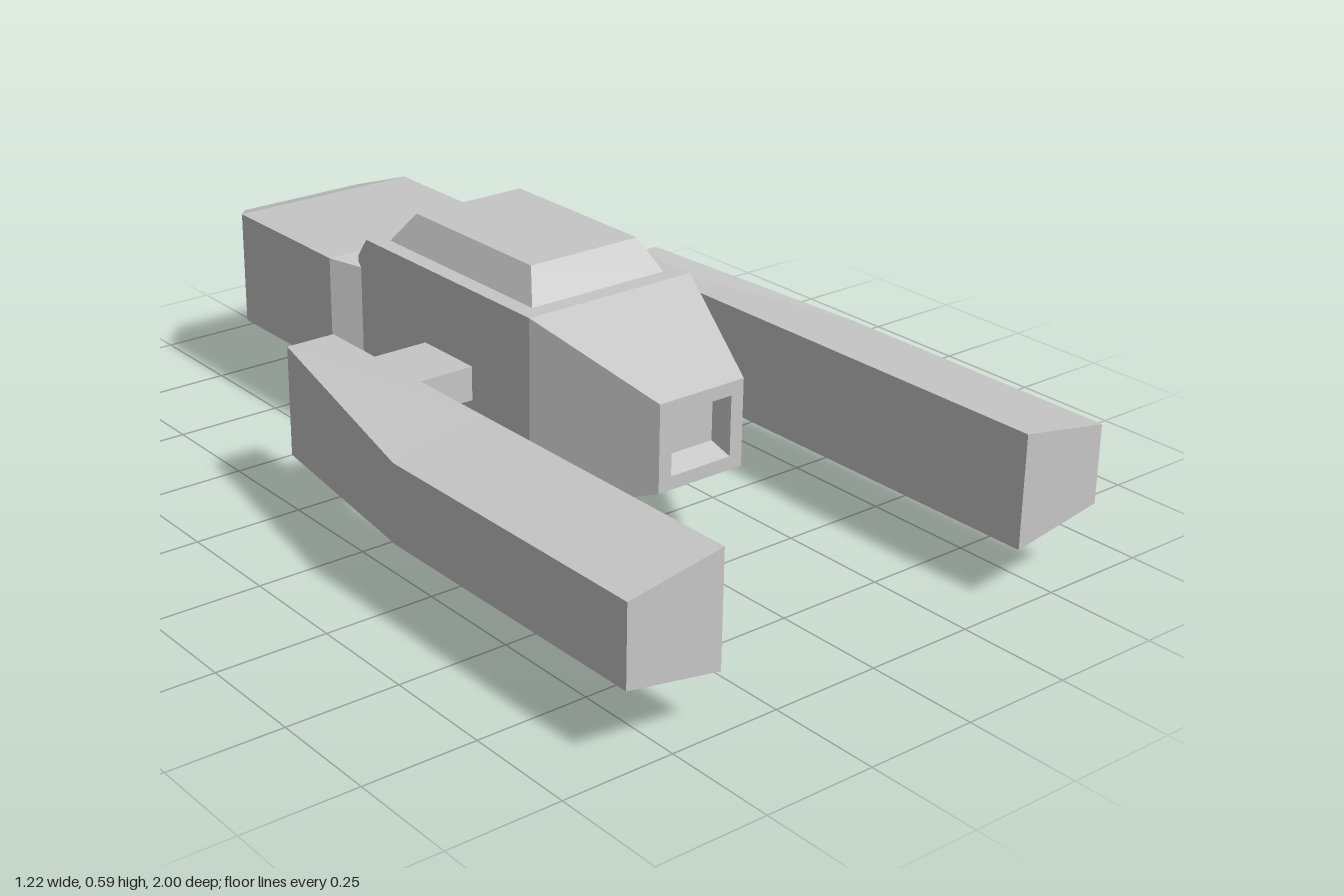
import * as THREE from 'three';

// Rectangular section: half width, bottom, top, depth position
const rect = (hw, y0, y1, z) => [[-hw, y0, z], [hw, y0, z], [hw, y1, z], [-hw, y1, z]];

// Faceted solid through four-cornered rings, ordered from +z to -z
function loft(rings) {
  const pos = [];
  const quad = (a, b, c, d) => pos.push(...a, ...b, ...c, ...a, ...c, ...d);
  quad(...rings[0]);
  for (let i = 0; i < rings.length - 1; i++) {
    const r = rings[i], s = rings[i + 1];
    for (let j = 0; j < 4; j++) {
      const k = (j + 1) % 4;
      quad(r[j], s[j], s[k], r[k]);
    }
  }
  quad(...[...rings[rings.length - 1]].reverse());
  const g = new THREE.BufferGeometry();
  g.setAttribute('position', new THREE.Float32BufferAttribute(pos, 3));
  g.computeVertexNormals();
  return g;
}

export function createModel() {
  const group = new THREE.Group();
  const hullGrey = new THREE.MeshStandardMaterial({ color: 0xc6c6c6 });
  hullGrey.name = 'hullGrey';
  const add = (name, geometry) => {
    const mesh = new THREE.Mesh(geometry, hullGrey);
    mesh.name = name;
    group.add(mesh);
    return mesh;
  };

  // Main hull with a recessed port in the nose
  add('hull', loft([
    rect(0.072, 0.255, 0.35, 0.44),
    rect(0.078, 0.235, 0.37, 0.49),
    rect(0.11, 0.205, 0.4, 0.49),
    rect(0.213, 0.09, 0.517, 0.2),
    rect(0.213, 0.09, 0.517, -0.39),
    rect(0.18, 0.16, 0.45, -0.475),
  ]));

  // Rear engine with a recessed exhaust
  add('engine', loft([
    rect(0.185, 0.195, 0.428, -0.445),
    rect(0.231, 0.175, 0.442, -0.515),
    rect(0.231, 0.175, 0.442, -0.893),
    rect(0.16, 0.183, 0.408, -1),
    rect(0.147, 0.21, 0.382, -1),
    rect(0.125, 0.23, 0.362, -0.945),
  ]));

  // Raised roof hatch and belly pod, lofted vertically
  add('roofHatch', loft([
    rect(0.14, -0.11, 0.3, 0.587),
    rect(0.175, -0.16, 0.355, 0.515),
  ]).rotateX(-Math.PI / 2));
  add('bellyPod', loft([
    rect(0.19, -0.14, 0.317, 0.08),
    rect(0.13, -0.14, 0.317, 0),
  ]).rotateX(-Math.PI / 2));

  // Side arms and their struts
  for (const side of [1, -1]) {
    const label = side > 0 ? 'left' : 'right';
    const armRing = (outer, y0, y1, z) => {
      const ring = [[0.39, 0.13, z], [outer, y0, z], [outer, y1, z], [0.39, 0.38, z]]
        .map(([x, y, d]) => [x * side, y, d]);
      return side > 0 ? ring : ring.reverse();
    };
    add(label + 'Arm', loft([
      armRing(0.61, 0.167, 0.342, 1),
      armRing(0.61, 0.167, 0.342, 0.29),
      armRing(0.505, 0.13, 0.38, -0.258),
    ]));
    add(label + 'Strut', new THREE.BoxGeometry(0.19, 0.077, 0.17))
      .position.set(side * 0.3, 0.307, -0.095 + 0.01);
  }
  return group;
}
